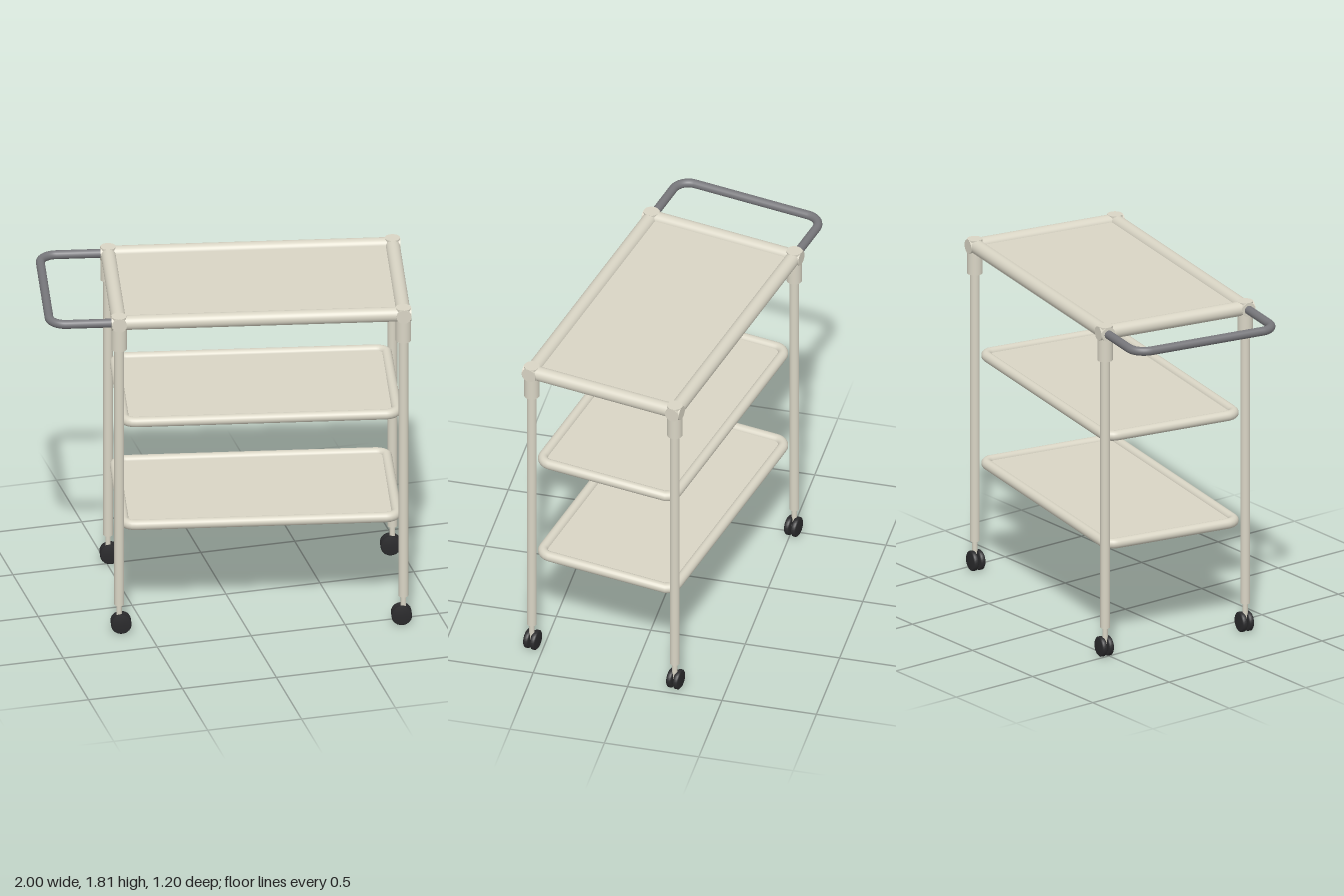
import * as THREE from 'three';

const cream = new THREE.MeshStandardMaterial({ color: 0xd8d4c4 });
const grey = new THREE.MeshStandardMaterial({ color: 0x77777b });
const black = new THREE.MeshStandardMaterial({ color: 0x2a2a2c });

const HALF_L = 0.733, HALF_W = 0.405; // leg centres
const RAIL_R = 0.038, RAIL_Y = 1.772;

function add(parent, name, geometry, material, x = 0, y = 0, z = 0) {
  const mesh = new THREE.Mesh(geometry, material);
  mesh.name = name;
  mesh.position.set(x, y, z);
  parent.add(mesh);
  return mesh;
}

// Upright cylinder between two heights
function post(parent, name, r, y0, y1) {
  return add(parent, name, new THREE.CylinderGeometry(r, r, y1 - y0, 32), cream, 0, (y0 + y1) / 2, 0);
}

// Rounded rectangle outline, centred on the origin
function roundedRect(hl, hw, r) {
  const s = new THREE.Shape();
  s.moveTo(hl, -hw + r);
  s.absarc(hl - r, hw - r, r, 0, Math.PI / 2);
  s.absarc(-hl + r, hw - r, r, Math.PI / 2, Math.PI);
  s.absarc(-hl + r, -hw + r, r, Math.PI, Math.PI * 1.5);
  s.absarc(hl - r, -hw + r, r, Math.PI * 1.5, Math.PI * 2);
  return s;
}

// Curve through a flat outline, laid in the horizontal plane
class FlatCurve extends THREE.Curve {
  constructor(path) { super(); this.path = path; }
  getPoint(t, target = new THREE.Vector3()) {
    const p = this.path.getPointAt(t);
    return target.set(p.x, 0, p.y);
  }
}

// Tray with a round rim and a thick floor flush with the rim's underside
function makeShelf(y) {
  const shelf = new THREE.Group();
  shelf.name = 'shelf';
  const r = 0.027;
  const outline = roundedRect(0.73 - r, 0.403 - r, 0.085 - r);
  add(shelf, 'shelfRim', new THREE.TubeGeometry(new FlatCurve(outline), 200, r, 20, true), cream);
  const floor = new THREE.ExtrudeGeometry(outline, { depth: 0.034, bevelEnabled: false, curveSegments: 10 });
  floor.rotateX(-Math.PI / 2);
  add(shelf, 'shelfFloor', floor, cream, 0, -r, 0);
  shelf.position.y = y;
  return shelf;
}

// Twin-wheel caster on a thin stem
function makeCaster(side) {
  const caster = new THREE.Group();
  caster.name = 'caster';
  post(caster, 'casterStem', 0.014, 0.06, 0.17);
  const profile = [[0, -0.014], [0.046, -0.014], [0.053, -0.008], [0.053, 0.008], [0.046, 0.014], [0, 0.014]]
    .map(([x, y]) => new THREE.Vector2(x, y));
  const wheel = new THREE.LatheGeometry(profile, 28).rotateX(Math.PI / 2);
  for (const s of [-1, 1]) add(caster, 'wheel', wheel, black, -side * 0.01, 0.053, s * 0.019);
  add(caster, 'axle', new THREE.CylinderGeometry(0.022, 0.022, 0.03, 20).rotateX(Math.PI / 2), black, -side * 0.01, 0.053, 0);
  return caster;
}

export function createModel() {
  const model = new THREE.Group();
  model.name = 'trolley';
  const cart = new THREE.Group();
  cart.name = 'cart';
  model.add(cart);

  // Legs, corner sockets and casters
  for (const sx of [-1, 1]) for (const sz of [-1, 1]) {
    const leg = new THREE.Group();
    leg.name = 'legAssembly';
    leg.position.set(sx * HALF_L, 0, sz * HALF_W);
    post(leg, 'leg', 0.025, 0.157, 1.66);
    post(leg, 'cornerSocket', 0.04, 1.622, RAIL_Y + RAIL_R);
    leg.add(makeCaster(sx));
    cart.add(leg);
  }

  // Top frame rails, running to the outer corners
  const longRail = new THREE.CylinderGeometry(RAIL_R, RAIL_R, 2 * (HALF_L + 0.04), 32).rotateZ(Math.PI / 2);
  const shortRail = new THREE.CylinderGeometry(RAIL_R, RAIL_R, 2 * (HALF_W + 0.04), 32).rotateX(Math.PI / 2);
  for (const s of [-1, 1]) {
    add(cart, 'longRail', longRail, cream, 0, RAIL_Y, s * HALF_W);
    add(cart, 'shortRail', shortRail, cream, s * HALF_L, RAIL_Y, 0);
  }
  add(cart, 'topPanel', new THREE.BoxGeometry(2 * HALF_L, 0.02, 2 * HALF_W), cream, 0, RAIL_Y, 0);

  // Lower shelves
  for (const y of [0.595, 1.185]) cart.add(makeShelf(y));

  // Push handle at the model's right end
  const end = -1.088, bend = 0.085, w = HALF_W;
  const path = new THREE.Path();
  path.moveTo(-HALF_L, -w);
  path.lineTo(end + bend, -w);
  path.absarc(end + bend, -w + bend, bend, -Math.PI / 2, -Math.PI, true);
  path.lineTo(end, w - bend);
  path.absarc(end + bend, w - bend, bend, Math.PI, Math.PI / 2, true);
  path.lineTo(-HALF_L, w);
  add(cart, 'handle', new THREE.TubeGeometry(new FlatCurve(path), 140, 0.023, 18, false), grey, 0, RAIL_Y, 0);

  // The whole cart stands turned on the floor
  cart.rotation.y = -THREE.MathUtils.degToRad(11);
  cart.position.set(0.153, 0, 0.02);
  return model;
}
